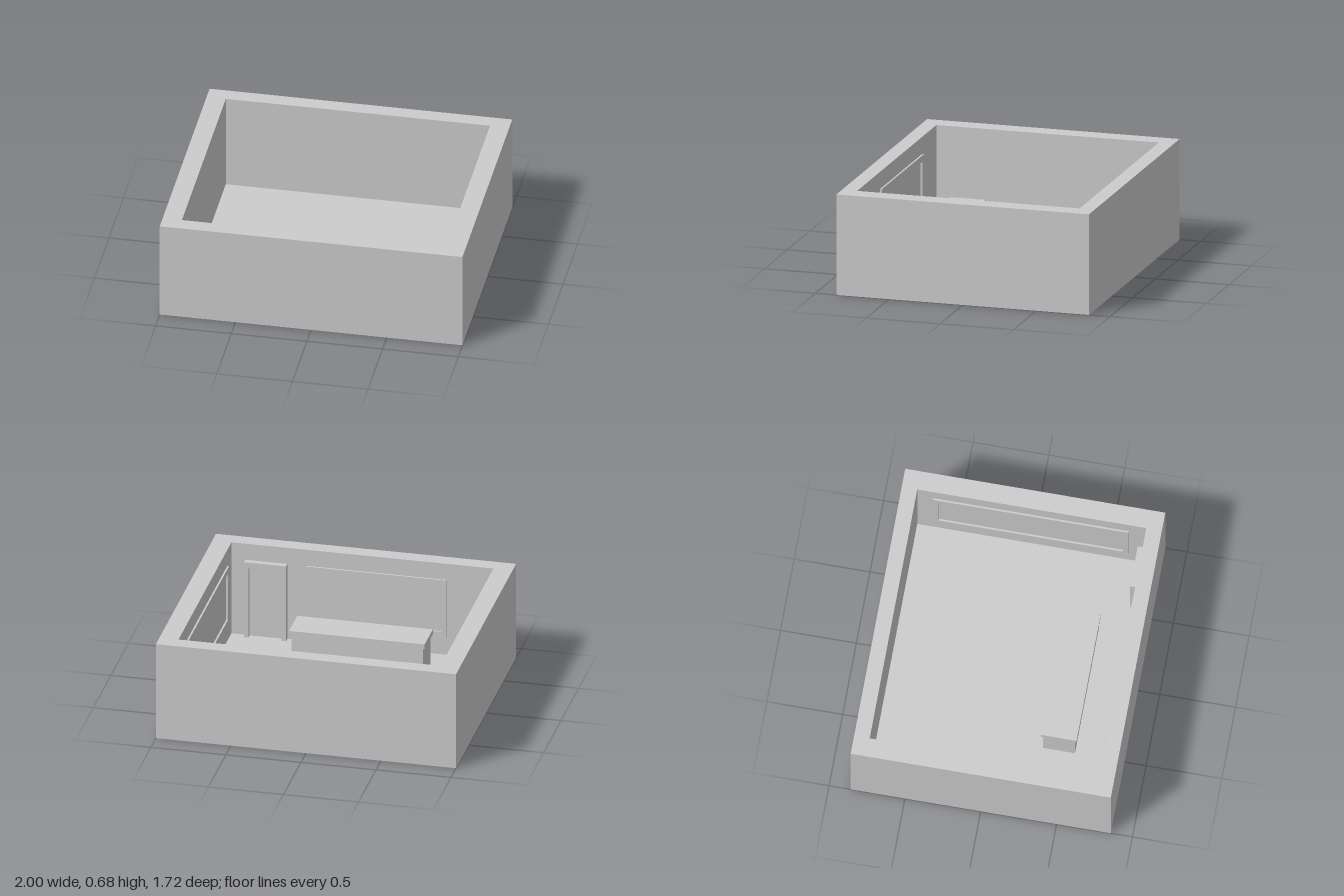
import * as THREE from 'three';

const material = new THREE.MeshStandardMaterial({ color: 0xcccccc });

const W = 2, D = 1.715, H = 0.675;   // outer size of the room
const IX = 0.873, IZ = 0.755;        // inner faces of the walls
const FLOOR = 0.022;

function add(parent, name, geometry) {
  const mesh = new THREE.Mesh(geometry, material);
  mesh.name = name;
  parent.add(mesh);
  return mesh;
}

// Box given by its limits on each axis
function block(parent, name, [x0, x1], [y0, y1], [z0, z1]) {
  const mesh = add(parent, name, new THREE.BoxGeometry(x1 - x0, y1 - y0, z1 - z0));
  mesh.position.set((x0 + x1) / 2, (y0 + y1) / 2, (z0 + z1) / 2);
  return mesh;
}

function rectangle(path, x0, y0, x1, y1) {
  path.moveTo(x0, y0);
  path.lineTo(x1, y0);
  path.lineTo(x1, y1);
  path.lineTo(x0, y1);
  path.closePath();
  return path;
}

// Rectangular ring in the xy plane, extruded towards +z
function ring(outer, inner, depth) {
  const shape = rectangle(new THREE.Shape(), ...outer);
  shape.holes.push(rectangle(new THREE.Path(), ...inner));
  return new THREE.ExtrudeGeometry(shape, { depth, bevelEnabled: false });
}

function windowFrame(width) {
  const w = width / 2, border = 0.035;
  return ring([-w, 0.15, w, 0.56], [-w + border, 0.188, w - border, 0.517], 0.012);
}

export function createModel() {
  const model = new THREE.Group();
  model.name = 'room';

  // Four walls as one ring, with the floor inside
  const walls = add(model, 'walls',
    ring([-W / 2, -D / 2, W / 2, D / 2], [-IX, -IZ, IX, IZ], H));
  walls.rotation.x = -Math.PI / 2;
  block(model, 'floor', [-IX, IX], [0, FLOOR], [-IZ, IZ]);

  // Shallow frames on the inside of the front and side walls
  const front = add(model, 'frontWindowFrame', windowFrame(0.93));
  front.position.set(-0.095, 0, IZ - 0.012);
  const side = add(model, 'sideWindowFrame', windowFrame(1.29));
  side.rotation.y = Math.PI / 2;
  side.position.set(IX - 0.012, 0, -0.005);

  // Doorway: two jambs, a lintel and a thin door leaf
  const door = new THREE.Group();
  door.name = 'door';
  model.add(door);
  const depth = [0.715, IZ];
  block(door, 'leftJamb', [0.75, 0.78], [FLOOR, 0.52], depth);
  block(door, 'rightJamb', [0.5, 0.53], [FLOOR, 0.52], depth);
  block(door, 'lintel', [0.5, 0.78], [0.52, 0.56], depth);
  block(door, 'doorLeaf', [0.53, 0.75], [FLOOR, 0.52], [0.75, IZ]);

  // Counter with a slightly overhanging top
  const counter = new THREE.Group();
  counter.name = 'counter';
  model.add(counter);
  block(counter, 'counterBody', [-0.505, 0.372], [FLOOR, 0.262], [0.323, 0.532]);
  block(counter, 'counterTop', [-0.518, 0.385], [0.262, 0.297], [0.31, 0.545]);

  return model;
}
